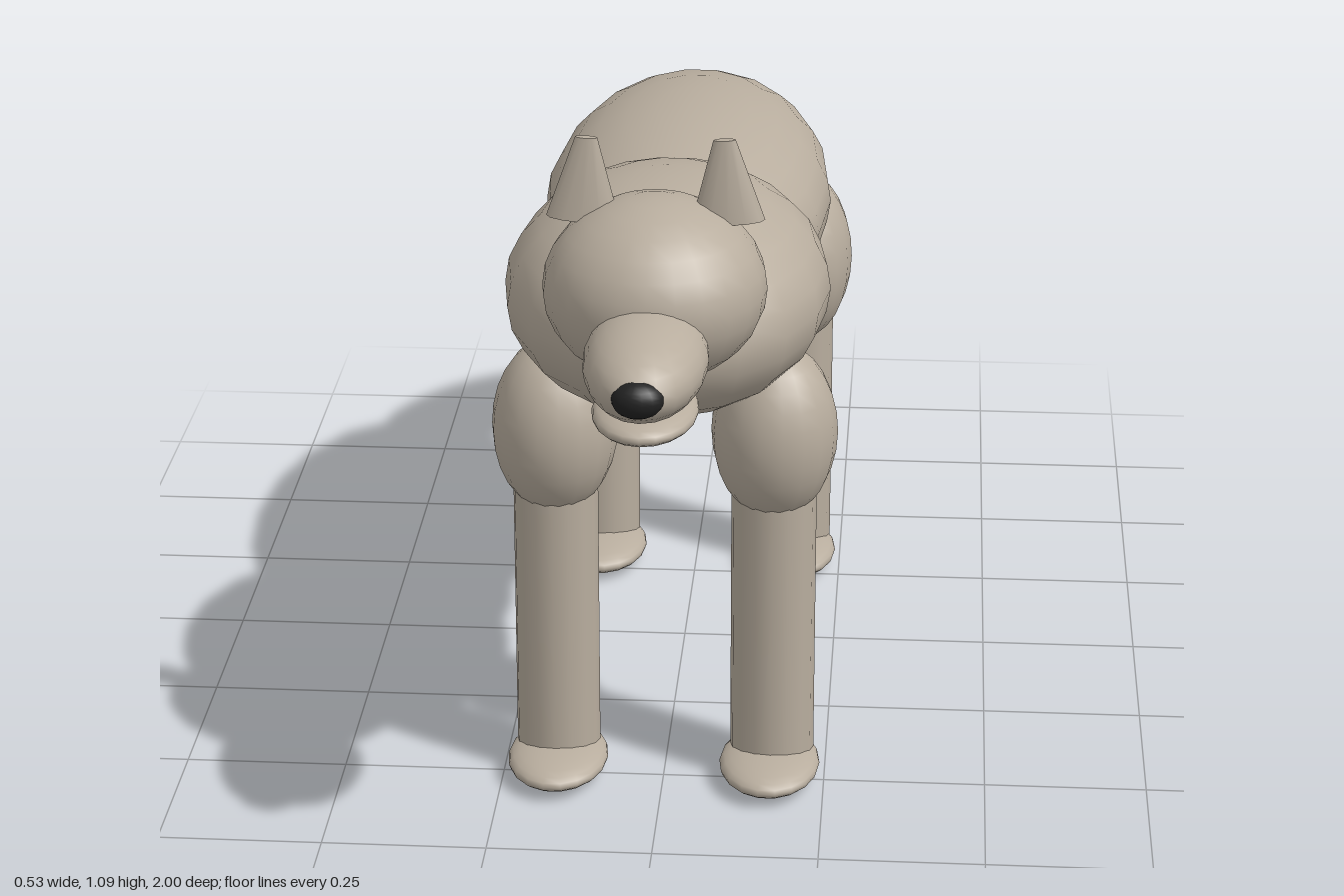
import * as THREE from 'three';

export function createModel() {
  const model = new THREE.Group();
  model.name = 'wolf';

  const fur = new THREE.MeshStandardMaterial({ color: 0xb8ad9e });
  fur.name = 'fur';
  const black = new THREE.MeshStandardMaterial({ color: 0x222222 });
  black.name = 'noseBlack';

  // Ellipsoid from centre and radii, optionally tilted about x
  function ellipsoid(name, [x, y, z], [rx, ry, rz], { tilt = 0, material = fur, segments = 18 } = {}) {
    const geometry = new THREE.SphereGeometry(1, segments, 14).scale(rx, ry, rz);
    const mesh = new THREE.Mesh(geometry, material);
    mesh.name = name;
    mesh.position.set(x, y, z);
    mesh.rotation.x = tilt;
    model.add(mesh);
  }

  // Trunk
  ellipsoid('body', [0, 0.745, -0.1], [0.232, 0.16, 0.475]);
  ellipsoid('chest', [0, 0.78, 0.39], [0.247, 0.172, 0.32]);
  ellipsoid('belly', [0, 0.695, 0.18], [0.185, 0.103, 0.34]);

  // Head
  ellipsoid('head', [0, 0.877, 0.65], [0.163, 0.135, 0.17], { segments: 24 });
  ellipsoid('muzzle', [0, 0.832, 0.82], [0.089, 0.068, 0.172], { segments: 20 });
  ellipsoid('jaw', [0, 0.761, 0.835], [0.076, 0.026, 0.12], { segments: 20 });
  ellipsoid('nose', [0, 0.833, 0.972], [0.037, 0.027, 0.028], { material: black, segments: 14 });

  // Tail
  ellipsoid('tail', [0, 0.63, -0.69], [0.1, 0.09, 0.31], { tilt: -0.64 });
  ellipsoid('tailTip', [0, 0.46, -0.92], [0.058, 0.055, 0.09], { tilt: -0.64 });

  for (const [side, s] of [['left', 1], ['right', -1]]) {
    // Flattened, blunt ear leaning slightly inward
    const ear = new THREE.Mesh(
      new THREE.CylinderGeometry(0.016, 0.053, 0.122, 12).scale(1, 1, 0.43), fur);
    ear.name = side + 'Ear';
    ear.position.set(s * 0.102, 1.034, 0.632);
    ear.rotation.z = s * 0.05;
    model.add(ear);

    // Legs: upper leg, shin, paw
    const legs = [
      ['Front', 0.46, 0.575, [0.096, 0.14, 0.102], 0.46, 0.495],
      ['Hind', -0.325, 0.565, [0.096, 0.15, 0.132], -0.342, -0.295],
    ];
    for (const [end, upperZ, upperY, radii, shinZ, pawZ] of legs) {
      ellipsoid(side + end + 'UpperLeg', [s * 0.167, upperY, upperZ], radii);
      const shin = new THREE.Mesh(new THREE.CylinderGeometry(0.065, 0.065, 0.45, 16), fur);
      shin.name = side + end + 'Shin';
      shin.position.set(s * 0.167, 0.255, shinZ);
      model.add(shin);
      ellipsoid(side + end + 'Paw', [s * 0.165, 0.029, pawZ], [0.078, 0.027, 0.112]);
    }
  }

  return model;
}
